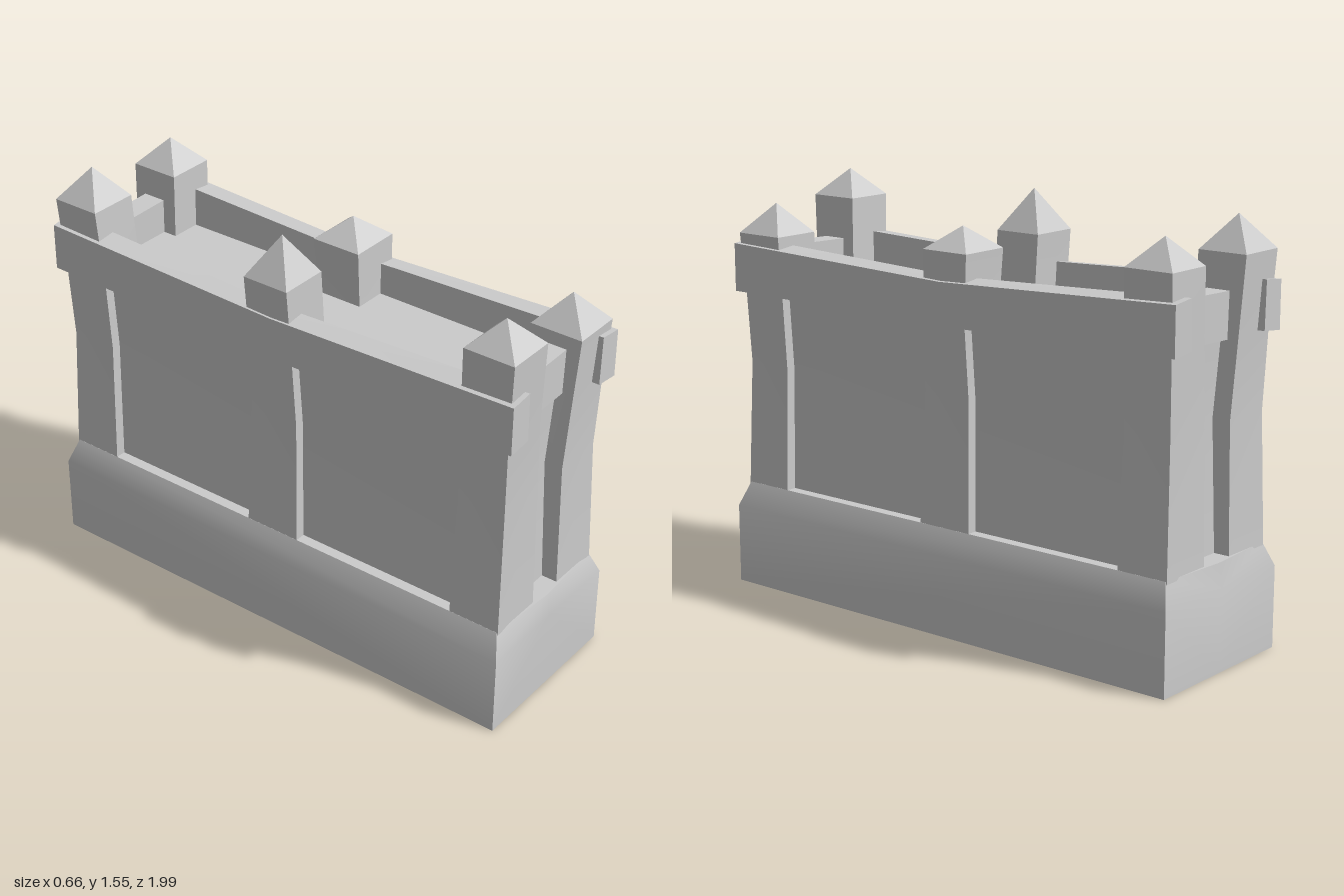
import * as THREE from 'three';
import { toCreasedNormals } from 'three/addons/utils/BufferGeometryUtils.js';

const material = new THREE.MeshStandardMaterial({ color: 0xcccccc });

// Skin a closed solid over rings of [x, y, z], counter-clockwise seen from the last ring's side
function loft(rings) {
  const n = rings[0].length;
  const pos = rings.flat(2);
  const index = [];
  for (let r = 0; r < rings.length - 1; r++) {
    for (let i = 0; i < n; i++) {
      const j = (i + 1) % n;
      const a = r * n + i, b = r * n + j, c = a + n, d = b + n;
      if (i % 2) index.push(a, b, d, a, d, c);
      else index.push(a, b, c, b, d, c);
    }
  }
  const top = (rings.length - 1) * n;
  for (let i = 1; i < n - 1; i++) {
    index.push(0, i + 1, i, top, top + i, top + i + 1);
  }
  const g = new THREE.BufferGeometry();
  g.setAttribute('position', new THREE.Float32BufferAttribute(pos, 3));
  g.setIndex(index);
  return toCreasedNormals(g, 0.55);
}

// Horizontal rectangle ring
const rect = (y, x0, x1, z0, z1) => [[x1, y, z1], [x1, y, z0], [x0, y, z0], [x0, y, z1]];

export function createModel() {
  const model = new THREE.Group();
  const add = (name, geometry) => {
    const mesh = new THREE.Mesh(geometry, material);
    mesh.name = name;
    model.add(mesh);
    return mesh;
  };

  // Plinth: six-point rings, chamfered top with bulging end middles
  const plinthRing = (y, x, z, zMid) => [
    [0, y, zMid], [x, y, z], [x, y, -z], [0, y, -zMid], [-x, y, -z], [-x, y, z],
  ];
  add('plinth', loft([
    plinthRing(0, 0.33, 0.995, 0.995),
    plinthRing(0.3, 0.33, 0.995, 0.995),
    plinthRing(0.39, 0.29, 0.965, 0.985),
  ]));

  // Wall core, slightly waisted, its top is the walkway
  add('wallCore', loft([
    rect(0.38, -0.25, 0.25, -0.91, 0.91),
    rect(0.86, -0.235, 0.235, -0.89, 0.89),
    rect(1.17, -0.25, 0.25, -0.9, 0.9),
  ]));

  // Posts: side, end (1 front, 0 middle, -1 back), eave, apex, top bounds in |x| and z
  const posts = [
    [-1, 1, 1.45, 1.55, 0.11, 0.3, 0.79, 0.985],
    [1, 1, 1.35, 1.46, 0.11, 0.3, 0.78, 0.98],
    [-1, 0, 1.4, 1.55, 0.11, 0.3, -0.11, 0.075],
    [1, 0, 1.38, 1.46, 0.09, 0.29, -0.115, 0.08],
    [-1, -1, 1.42, 1.54, 0.11, 0.3, -0.985, -0.795],
    [1, -1, 1.41, 1.51, 0.105, 0.292, -0.97, -0.78],
  ];
  for (const [side, end, eave, apex, xi, xo, zb, zf] of posts) {
    const section = (y, inner, outer, near, far, mid) => {
      const xs = [side * inner, side * outer].sort((p, q) => p - q);
      const zs = end ? [end * near, end * far].sort((p, q) => p - q) : [-0.01 - mid, -0.01 + mid];
      return rect(y, ...xs, ...zs);
    };
    const xs = [side * xi, side * xo].sort((p, q) => p - q);
    add('post', loft([
      section(0.38, 0.075, 0.29, 0.77, 0.97, 0.112),
      section(0.86, 0.075, 0.272, 0.775, 0.96, 0.1),
      section(1.14, 0.1, 0.285, 0.78, 0.968, 0.092),
      rect(eave, ...xs, zb, zf),
    ]));

    // Four-sided cap
    const cap = new THREE.ConeGeometry(Math.SQRT1_2, 1, 4, 1, false, Math.PI / 4).toNonIndexed();
    cap.computeVertexNormals();
    cap.scale(xo - xi, apex - eave, zf - zb);
    cap.translate(side * (xi + xo) / 2, (eave + apex) / 2, (zb + zf) / 2);
    add('postCap', cap);
  }

  // Long rails, sagging towards the middle
  for (const side of [-1, 1]) {
    const railRing = (z, inner, outer, y0, y1) => {
      const low = [[side * inner, y0 + 0.01, z], [side * outer, y0, z]];
      const high = [[side * outer, y1 - 0.01, z], [side * (inner + 0.005), y1, z]];
      const ring = [...low, ...high];
      return side > 0 ? ring : ring.reverse();
    };
    add('sideRail', loft([
      railRing(-0.997, 0.215, 0.31, 1.14, 1.325),
      railRing(0, 0.22, 0.3, 1.12, 1.285),
      railRing(0.997, 0.215, 0.312, 1.13, 1.32),
    ]));
  }

  // Short rails between the end posts
  for (const end of [-1, 1]) {
    const rail = add('endRail', new THREE.BoxGeometry(0.3, 0.165, 0.09));
    rail.position.set(0, 1.215, end * 0.88);
    rail.rotation.z = 0.03;
  }

  return model;
}
